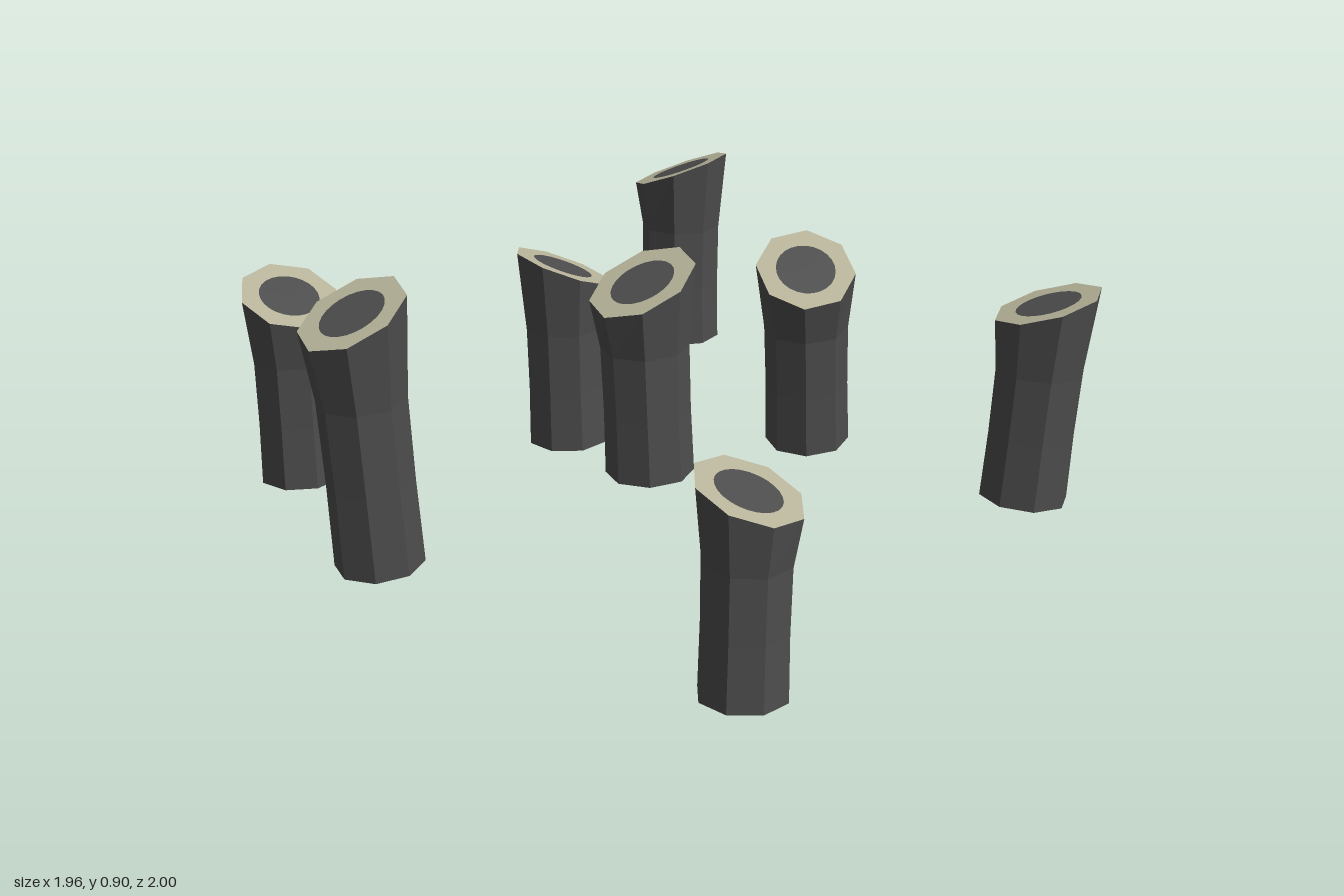
import * as THREE from 'three';

const SIDES = 8;
const TOP_R = 0.142;
const CORE_R = 0.085;

// top: centre of the cut [x, y, z]; base: centre of the foot;
// slope: rise of the cut along x and z; turn: rotation of the octagon in degrees
const STUMPS = [
  { top: [-0.56, 0.62, -0.87], base: [-0.555, 0.07, -0.86], slope: [0.05, -0.37], turn: 12 },
  { top: [0.835, 0.745, -0.763], base: [0.83, 0.2, -0.757], slope: [0.15, 0.37], turn: 6 },
  { top: [0.218, 0.605, -0.595], base: [0.227, 0.06, -0.588], slope: [-0.37, -0.13], turn: 19 },
  { top: [-0.845, 0.835, -0.143], base: [-0.795, 0.123, -0.135], slope: [0.46, 0], turn: -4 },
  { top: [-0.07, 0.802, 0.09], base: [-0.055, 0.257, 0.105], slope: [0.46, 0.03], turn: -4 },
  { top: [0.568, 0.687, 0.065], base: [0.61, 0.153, 0.045], slope: [0.3, -0.4], turn: 0 },
  { top: [-0.402, 0.55, 0.86], base: [-0.415, 0.003, 0.865], slope: [-0.13, -0.33], turn: 18 },
  { top: [0.69, 0.768, 0.85], base: [0.653, 0.22, 0.833], slope: [0.18, 0.25], turn: -10 },
];

// Radius at the foot, lower third, upper third and cut
const RADII = [0.121, 0.118, 0.12, TOP_R];

// Open octagonal trunk: leans from base to top, flares at the slanted cut
function trunkGeometry({ top, base, slope, turn }) {
  const geo = new THREE.CylinderGeometry(1, 1, 3, SIDES, 3, true);
  geo.rotateY(-THREE.MathUtils.degToRad(turn));
  const a = new THREE.Vector3(...base);
  const b = new THREE.Vector3(...top);
  const height = b.y - a.y;
  const footSlope = [(a.x - b.x) / height, (a.z - b.z) / height];
  const pos = geo.attributes.position;
  const c = new THREE.Vector3();
  for (let i = 0; i < pos.count; i++) {
    const level = Math.round(pos.getY(i) + 1.5);
    const dx = pos.getX(i) * RADII[level];
    const dz = pos.getZ(i) * RADII[level];
    const [sx, sz] = level === 3 ? slope : footSlope;
    c.lerpVectors(a, b, level / 3);
    pos.setXYZ(i, c.x + dx, c.y + sx * dx + sz * dz, c.z + dz);
  }
  geo.computeVertexNormals();
  return geo;
}

// Lays a flat shape onto the slanted cut
function onCut(geo, { top, slope }) {
  geo.rotateX(-Math.PI / 2);
  const pos = geo.attributes.position;
  for (let i = 0; i < pos.count; i++) {
    const x = pos.getX(i);
    const z = pos.getZ(i);
    pos.setXYZ(i, top[0] + x, top[1] + slope[0] * x + slope[1] * z, top[2] + z);
  }
  geo.computeVertexNormals();
  return geo;
}

// Octagonal ring of pale wood around the core
function rimGeometry(stump) {
  const points = [];
  for (let i = 0; i < SIDES; i++) {
    const t = (i / SIDES) * Math.PI * 2 + THREE.MathUtils.degToRad(stump.turn);
    points.push(new THREE.Vector2(Math.cos(t) * TOP_R, -Math.sin(t) * TOP_R));
  }
  const shape = new THREE.Shape(points);
  shape.holes.push(new THREE.Path().absarc(0, 0, CORE_R, 0, Math.PI * 2, true));
  return onCut(new THREE.ShapeGeometry(shape, 12), stump);
}

export function createModel() {
  const bark = new THREE.MeshStandardMaterial({
    color: 0x4d4d4d, flatShading: true, side: THREE.DoubleSide,
  });
  bark.name = 'charcoal bark';
  const wood = new THREE.MeshStandardMaterial({ color: 0xb8b49a, flatShading: true });
  wood.name = 'pale wood';

  const model = new THREE.Group();
  model.name = 'stumps';

  STUMPS.forEach((stump, i) => {
    const group = new THREE.Group();
    group.name = `stump${i + 1}`;
    const add = (name, geo, mat) => {
      const mesh = new THREE.Mesh(geo, mat);
      mesh.name = name;
      group.add(mesh);
    };
    add('trunk', trunkGeometry(stump), bark);
    add('cutRim', rimGeometry(stump), wood);
    add('cutCore', onCut(new THREE.CircleGeometry(CORE_R, 24), stump), bark);
    model.add(group);
  });

  return model;
}
